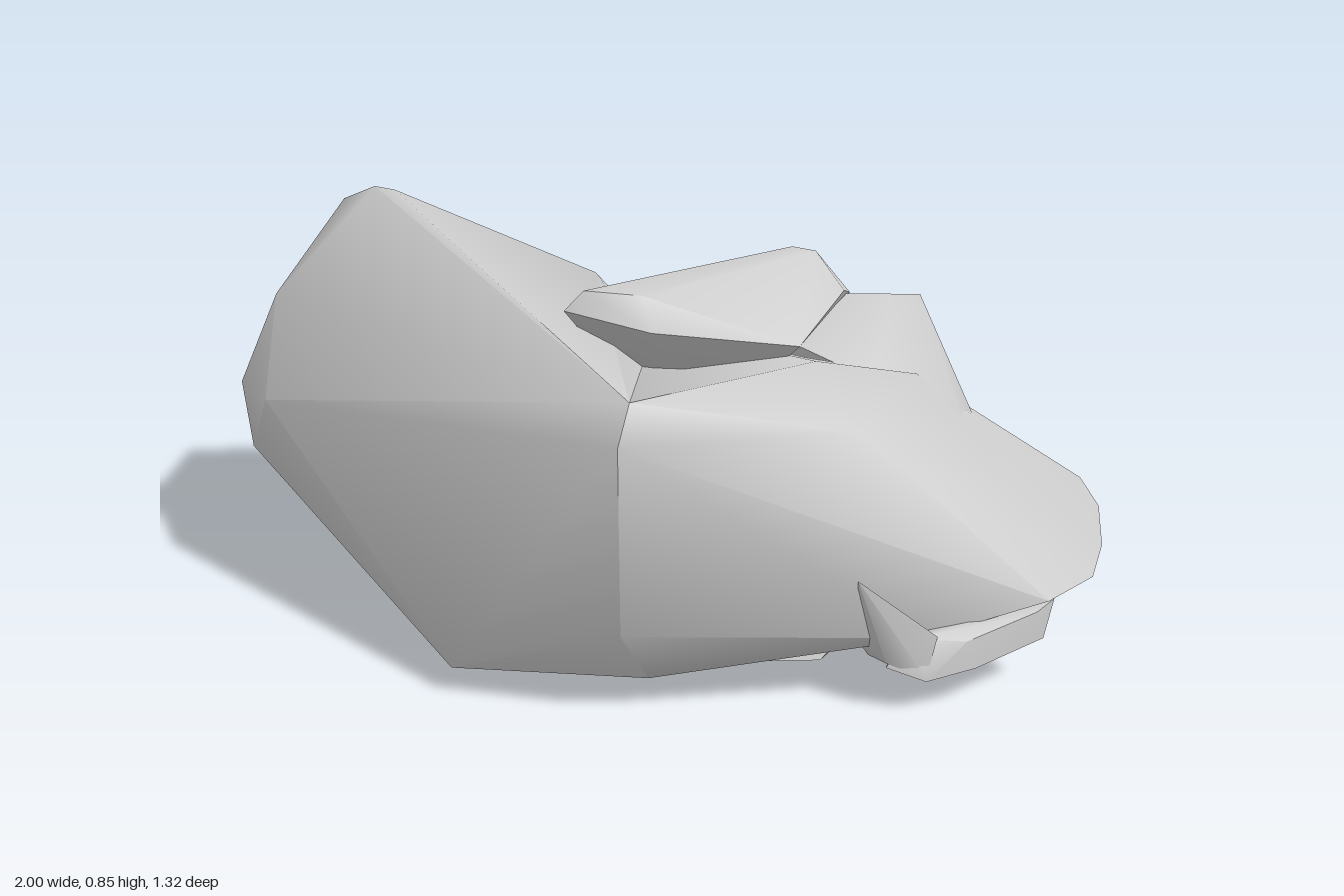
import * as THREE from 'three';
import { toCreasedNormals } from 'three/addons/utils/BufferGeometryUtils.js';
import { ConvexGeometry } from 'three/addons/geometries/ConvexGeometry.js';

export function createModel() {
  const group = new THREE.Group();
  const stone = new THREE.MeshStandardMaterial({ color: 0xcccccc });
  stone.name = 'paleStone';

  // Softly creased stone wrapped around a few corner points
  function addStone(name, corners, crease = 1.0) {
    const hull = new ConvexGeometry(corners.map((c) => new THREE.Vector3(...c)));
    const mesh = new THREE.Mesh(toCreasedNormals(hull, crease), stone);
    mesh.name = name;
    group.add(mesh);
  }

  // Front edge and low back corner shared by both halves of the boulder
  const seam = [
    [-0.08, 0.67, 0.6], [-0.1, 0.6, 0.655], [-0.1, 0.2, 0.64], [-0.05, 0.07, 0.57],
    [-0.45, 0.06, 0.52], [-0.05, 0.49, -0.1], [-0.36, 0.06, -0.61], [0.04, 0.09, -0.61],
    [0.07, 0.18, -0.665],
  ];

  // Peaked half with a plateau tilting down to the middle
  addStone('boulderPeak', [
    ...seam,
    [-0.65, 0.845, -0.25], [-0.7, 0.845, -0.28], [-0.78, 0.805, -0.32], [-0.92, 0.62, -0.18],
    [-1, 0.43, -0.12], [-1, 0.25, -0.17], [-0.99, 0.35, -0.28], [-0.9, 0.46, 0.07],
    [-0.91, 0.07, -0.29], [-0.74, 0.035, -0.31],
    [-0.9, 0.2, -0.45], [-0.8, 0.14, -0.54], [-0.52, 0.17, -0.625], [-0.33, 0.585, -0.48],
    [-0.22, 0.565, -0.53], [-0.16, 0.44, -0.63],
  ]);

  // Long wedge: high shoulder in front, sinking to the back and right
  addStone('boulderWedge', [
    ...seam,
    [-0.1, 0.4, -0.62], [0.13, 0.43, -0.2], [0.2, 0.36, -0.47], [0.6, 0.17, -0.605],
    [0.87, 0.12, -0.5], [0.97, 0.09, -0.4], [1, 0.06, -0.3], [0.95, 0.1, 0],
    [0.77, 0.02, -0.45], [0.6, 0.01, -0.53], [0.63, 0.44, 0.07], [0.5, 0.56, 0.14],
    [0.28, 0.645, 0.3], [0.87, 0.17, 0.3], [0.75, 0.2, 0.47], [0.5, 0.14, 0.52],
    [0.36, 0.56, 0.46],
  ]);

  // Ridged stone lying diagonally on the boulder
  addStone('ridgeStone', [
    [-0.19, 0.77, 0.24], [-0.07, 0.77, 0.27], [0.29, 0.77, -0.05], [0.24, 0.77, -0.08],
    [-0.23, 0.73, 0.25], [-0.05, 0.71, 0.325], [0.25, 0.64, 0.2],
    [0.35, 0.7, 0.01], [0.37, 0.66, -0.1], [0.34, 0.64, -0.16], [0.13, 0.47, -0.18],
    [-0.05, 0.48, -0.1], [-0.18, 0.59, 0.08], [0.1, 0.45, 0.1],
  ], 0.8);

  // Rounded stone on the right slope
  addStone('slopeStone', [
    [0.45, 0.69, 0], [0.38, 0.68, 0.08], [0.52, 0.67, -0.06], [0.25, 0.64, 0.2],
    [0.4, 0.58, 0.235], [0.6, 0.45, 0.16], [0.64, 0.38, 0.1], [0.66, 0.32, -0.1],
    [0.65, 0.4, 0.05], [0.58, 0.52, -0.22], [0.42, 0.53, -0.38], [0.22, 0.54, -0.4],
    [0.16, 0.53, -0.4], [0.13, 0.6, -0.25], [0.15, 0.63, -0.18], [0.62, 0.29, -0.25],
    [0.44, 0.35, -0.43], [0.22, 0.35, -0.465], [0.14, 0.4, -0.3], [0.4, 0.35, 0.1],
  ], 1.2);

  // Jagged stone poking out underneath
  addStone('baseStone', [
    [0.5, 0.04, 0.1], [0.3, 0.02, 0.4], [0.2, 0, 0.25], [-0.04, 0.01, 0.4],
    [-0.2, 0.005, 0.2], [-0.4, 0.04, 0], [-0.2, 0, -0.2], [-0.27, 0.02, -0.48],
    [0.05, 0.01, -0.33], [0.2, 0, -0.1], [0.4, 0.12, 0.35], [-0.1, 0.1, 0.3],
  ], 0.6);

  // Small horned flake tucked under the front edge
  addStone('flakeHorn', [
    [0.36, 0.285, 0.56], [0.36, 0.13, 0.49], [0.39, 0.09, 0.5], [0.42, 0.11, 0.57],
    [0.52, 0.165, 0.56], [0.5, 0.08, 0.575], [0.5, 0.1, 0.46],
  ]);
  addStone('flakeBar', [
    [0.42, 0.1, 0.57], [0.5, 0.075, 0.58], [0.6, 0.09, 0.55], [0.75, 0.1, 0.44],
    [0.77, 0.18, 0.42], [0.73, 0.17, 0.46], [0.58, 0.15, 0.55], [0.46, 0.16, 0.56],
    [0.45, 0.08, 0.42], [0.65, 0.15, 0.38],
  ]);

  return group;
}
